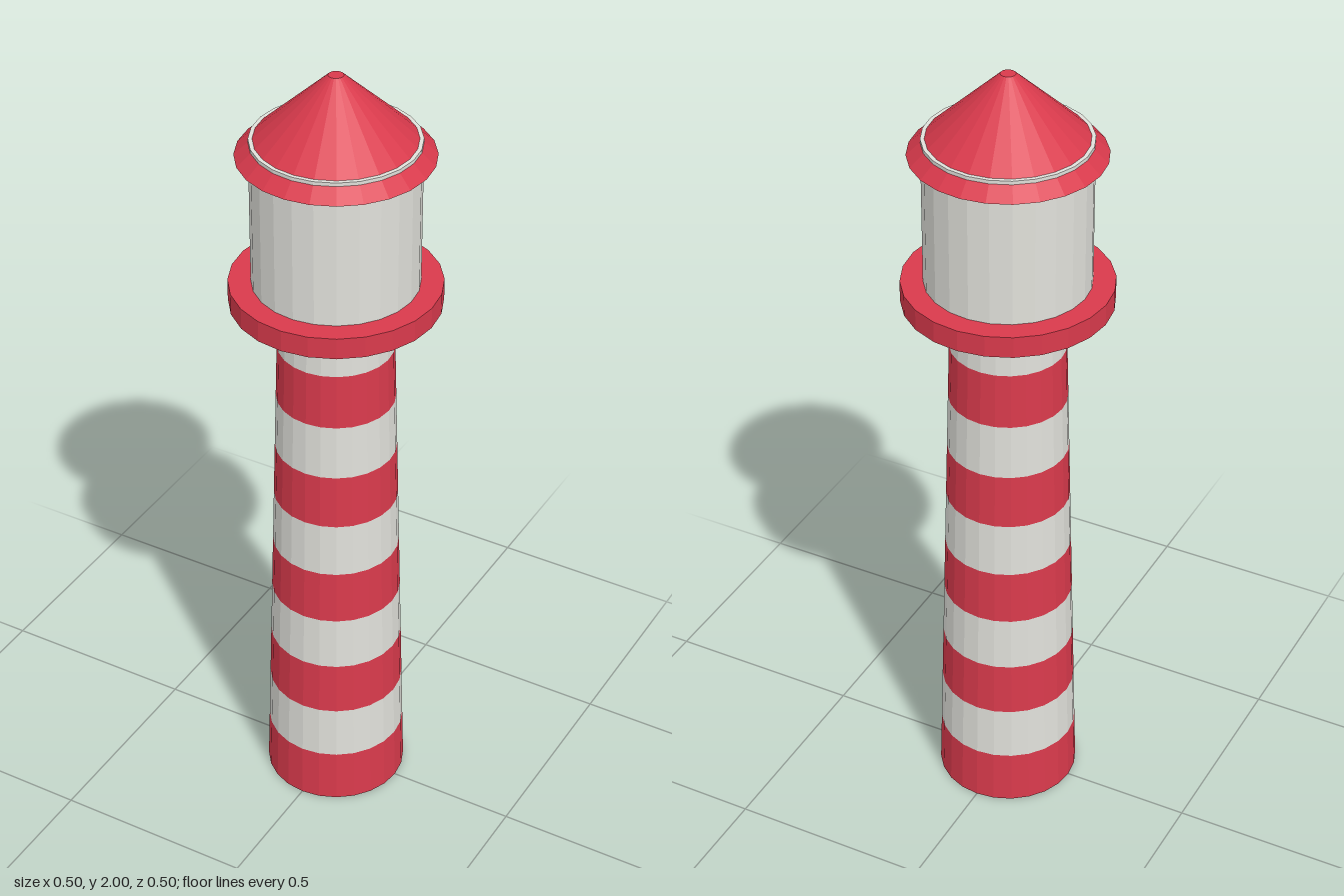
import * as THREE from 'three';

const SIDES = 24;

export function createModel() {
  const group = new THREE.Group();
  const red = new THREE.MeshStandardMaterial({ color: 0xd93a4c });
  red.name = 'red';
  const white = new THREE.MeshStandardMaterial({ color: 0xe0e0da });
  white.name = 'white';

  // Faceted drum between two heights
  function drum(name, material, y0, y1, r0, r1, open = false) {
    const geometry = new THREE.CylinderGeometry(r1, r0, y1 - y0, SIDES, 1, open).toNonIndexed();
    geometry.computeVertexNormals();
    const mesh = new THREE.Mesh(geometry, material);
    mesh.name = name;
    mesh.position.y = (y0 + y1) / 2;
    group.add(mesh);
  }

  // Tapered tower in alternating bands
  const bands = 10, towerTop = 1.43;
  const radius = (t) => THREE.MathUtils.lerp(0.176, 0.136, t);
  for (let i = 0; i < bands; i++) {
    const a = i / bands, b = (i + 1) / bands;
    drum(`towerBand${i + 1}`, i % 2 ? white : red, a * towerTop, b * towerTop, radius(a), radius(b), i > 0);
  }

  // Lantern room, gallery around its foot, and roof that its rim pokes through
  drum('lanternRoom', white, 1.39, 1.84, 0.198, 0.198);
  drum('gallery', red, 1.413, 1.467, 0.252, 0.252);
  drum('roof', red, 1.8, 2, 0.231, 0.018);

  return group;
}
